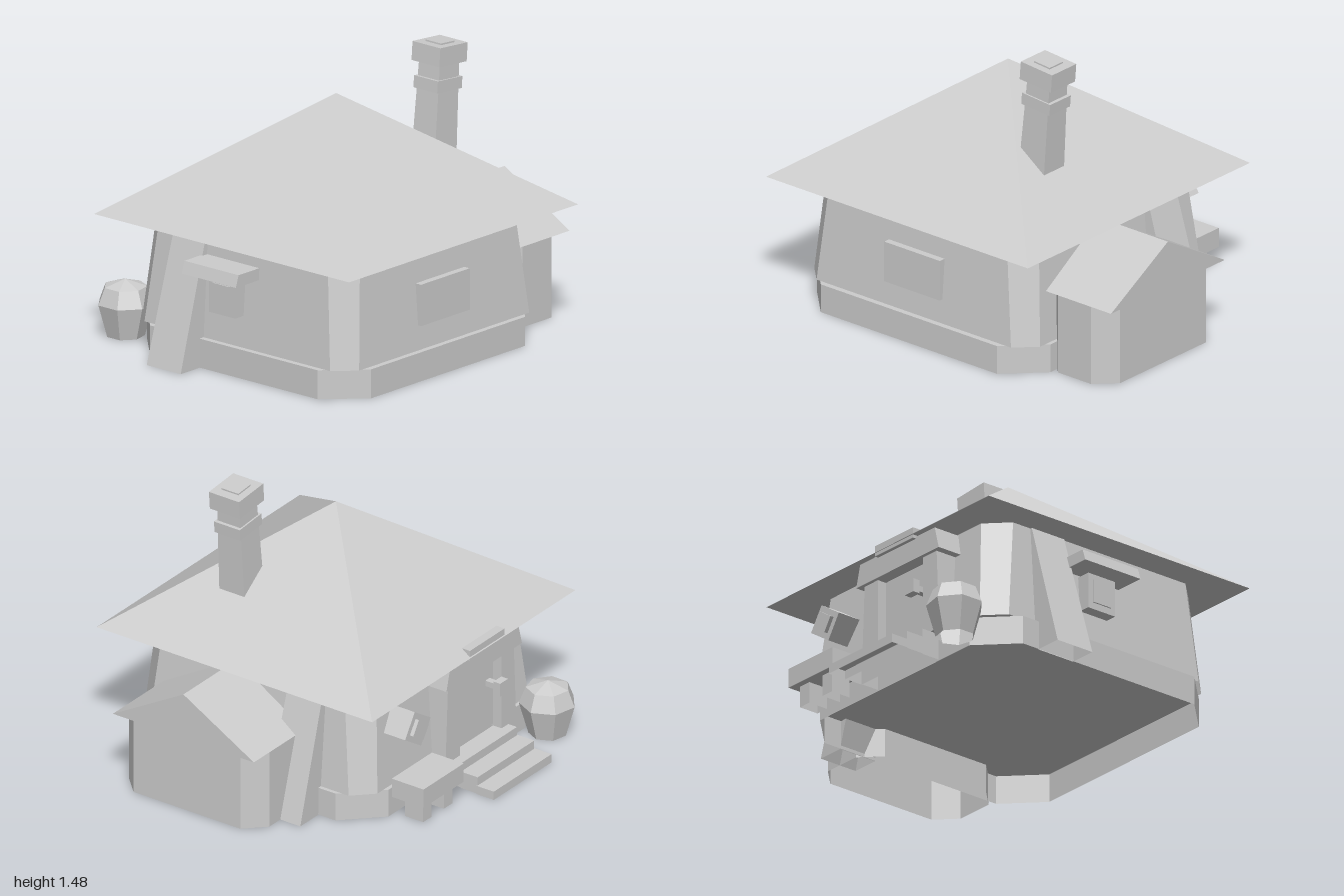
import * as THREE from 'three';

const stone = new THREE.MeshStandardMaterial({ color: 0xcccccc, side: THREE.DoubleSide });
stone.name = 'plain grey';

// Rectangle at height y
function rect(x0, x1, z0, z1, y) {
  return [[x0, y, z1], [x1, y, z1], [x1, y, z0], [x0, y, z0]];
}

// Chamfered rectangle: x0..x1, z0..z1, corner cut c, height y
function ring(x0, x1, z0, z1, c, y) {
  return [
    [x0 + c, y, z1], [x1 - c, y, z1], [x1, y, z1 - c], [x1, y, z0 + c],
    [x1 - c, y, z0], [x0 + c, y, z0], [x0, y, z0 + c], [x0, y, z1 - c],
  ];
}

// Solid between two rings, capped on top and open underneath
function loft(bottom, top) {
  const p = [];
  const n = bottom.length;
  const tri = (a, b, c) => p.push(...a, ...b, ...c);
  for (let i = 0; i < n; i++) {
    const j = (i + 1) % n;
    tri(bottom[i], bottom[j], top[j]);
    tri(bottom[i], top[j], top[i]);
    if (i > 0 && i < n - 1) tri(top[0], top[i], top[i + 1]);
  }
  const g = new THREE.BufferGeometry();
  g.setAttribute('position', new THREE.Float32BufferAttribute(p, 3));
  g.computeVertexNormals();
  return g;
}

// Outline in x,y extruded to the given depth along z
function extrude(points, depth) {
  const shape = new THREE.Shape(points.map(([x, y]) => new THREE.Vector2(x, y)));
  return new THREE.ExtrudeGeometry(shape, { depth, bevelEnabled: false });
}

export function createModel() {
  const model = new THREE.Group();
  model.name = 'cottage';

  function add(name, geometry, parent = model) {
    const m = new THREE.Mesh(geometry, stone);
    m.name = name;
    parent.add(m);
    return m;
  }
  // Box from its extents
  function box(name, x0, x1, y0, y1, z0, z1, parent = model) {
    const m = add(name, new THREE.BoxGeometry(x1 - x0, y1 - y0, z1 - z0), parent);
    m.position.set((x0 + x1) / 2, (y0 + y1) / 2, (z0 + z1) / 2);
    return m;
  }
  // Box standing on the ground with no underside
  function groundBox(name, x0, x1, y, z0, z1) {
    return add(name, loft(rect(x0, x1, z0, z1, 0), rect(x0, x1, z0, z1, y)));
  }

  // Main house: plinth, tapered walls, pyramid roof
  add('plinth', loft(ring(-0.86, 0.63, -0.62, 0.83, 0.183, 0), ring(-0.86, 0.63, -0.62, 0.83, 0.183, 0.147)));
  add('walls', loft(ring(-0.83, 0.61, -0.6, 0.8, 0.1, 0.147), ring(-0.79, 0.56, -0.55, 0.76, 0.11, 0.67)));
  const roofGeo = new THREE.ConeGeometry(0.835 * Math.SQRT2, 0.59, 4).toNonIndexed();
  roofGeo.rotateY(Math.PI / 4);
  roofGeo.scale(1, 1, 0.825 / 0.835);
  roofGeo.computeVertexNormals();
  add('roof', roofGeo).position.set(-0.11, 0.967, 0.1);

  // Sloping buttresses on both sides
  for (const s of [-1, 1]) {
    const span = (a, b) => [s * a - 0.11, s * b - 0.11].sort((u, v) => u - v);
    add(s < 0 ? 'rightButtress' : 'leftButtress',
      loft(rect(...span(0.745, 0.89), -0.335, -0.115, 0), rect(...span(0.55, 0.69), -0.33, -0.125, 0.67)));
  }

  // Side shed with gable roof
  add('shedWalls', loft(ring(0.56, 0.97, -0.215, 0.625, 0.1, 0), ring(0.56, 0.97, -0.215, 0.625, 0.1, 0.41)));
  const gable = extrude([[-0.627, 0.41], [0.217, 0.41], [-0.205, 0.65]], 0.45);
  gable.rotateY(Math.PI / 2);
  add('shedRoof', gable).position.x = 0.55;

  // Leaning chimney
  const chimney = new THREE.Group();
  chimney.name = 'chimney';
  chimney.position.set(0.32, 0.9, 0.352);
  chimney.rotation.z = -0.08;
  model.add(chimney);
  add('chimneyStack', loft(rect(-0.08, 0.08, -0.075, 0.075, 0), rect(-0.07, 0.07, -0.067, 0.067, 0.5)), chimney);
  box('chimneyCollar', -0.09, 0.09, 0.335, 0.395, -0.077, 0.077, chimney);
  box('chimneyCap', -0.1, 0.1, 0.47, 0.565, -0.09, 0.09, chimney);
  box('flue', -0.05, 0.05, 0.56, 0.573, -0.05, 0.05, chimney);

  // Front shutter
  box('frontShutter', -0.29, 0.065, 0.27, 0.48, 0.74, 0.81);

  // Side window with small awning
  box('sideWindow', -0.88, -0.78, 0.305, 0.49, -0.04, 0.13);
  box('sideWindowPane', -0.887, -0.88, 0.34, 0.46, -0.01, 0.1);
  add('awning', extrude([[-0.97, 0.5], [-0.75, 0.5], [-0.75, 0.56], [-0.95, 0.56]], 0.35)).position.z = -0.135;

  // Back doorway: door, tapered posts, lintel, slab at the eave
  box('door', -0.42, -0.04, 0.147, 0.56, -0.63, -0.5);
  for (const s of [-1, 1]) {
    const post = [[0.17, 0.135], [0.29, 0.135], [0.27, 0.56], [0.17, 0.56]].map(([x, y]) => [s * x - 0.23, y]);
    add('doorPost', extrude(post, 0.15)).position.z = -0.68;
  }
  add('lintel', extrude([[-0.54, 0.55], [0.08, 0.55], [0.05, 0.665], [-0.51, 0.665]], 0.2)).position.z = -0.7;
  box('eaveSlab', -0.37, -0.085, 0.655, 0.71, -0.72, -0.67);
  box('doorHandle', -0.385, -0.32, 0.36, 0.43, -0.73, -0.69);
  box('handleStem', -0.37, -0.335, 0.38, 0.41, -0.7, -0.6);

  // Steps
  for (let i = 0; i < 3; i++) {
    const e = i * 0.005;
    const z = -0.932 + i * 0.1;
    groundBox('step', -0.465 + e, 0.01 - e, 0.045 * (i + 1), z, z + 0.103);
  }

  // Bench with two solid legs
  box('benchSeat', 0.11, 0.44, 0.11, 0.21, -0.825, -0.635);
  for (const x of [0.155, 0.325]) groundBox('benchLeg', x, x + 0.07, 0.11, -0.79, -0.68);

  // Tilted wall box beside the door
  const wallBox = new THREE.Group();
  wallBox.name = 'tiltedWallBox';
  wallBox.position.set(0.315, 0.45, -0.63);
  wallBox.rotation.z = 0.58;
  model.add(wallBox);
  box('wallBoxBody', -0.078, 0.078, -0.072, 0.072, -0.07, 0.1, wallBox);
  box('wallBoxPanel', -0.05, 0.05, -0.042, 0.042, -0.09, -0.07, wallBox);

  // Barrel
  const profile = [[0.095, 0], [0.141, 0.165], [0.108, 0.25], [0, 0.285]];
  const barrelGeo = new THREE.LatheGeometry(profile.map(([x, y]) => new THREE.Vector2(x, y)), 7).toNonIndexed();
  barrelGeo.computeVertexNormals();
  const barrel = add('barrel', barrelGeo);
  barrel.position.set(-0.705, 0, -0.735);
  barrel.rotation.y = 0.67;

  return model;
}
